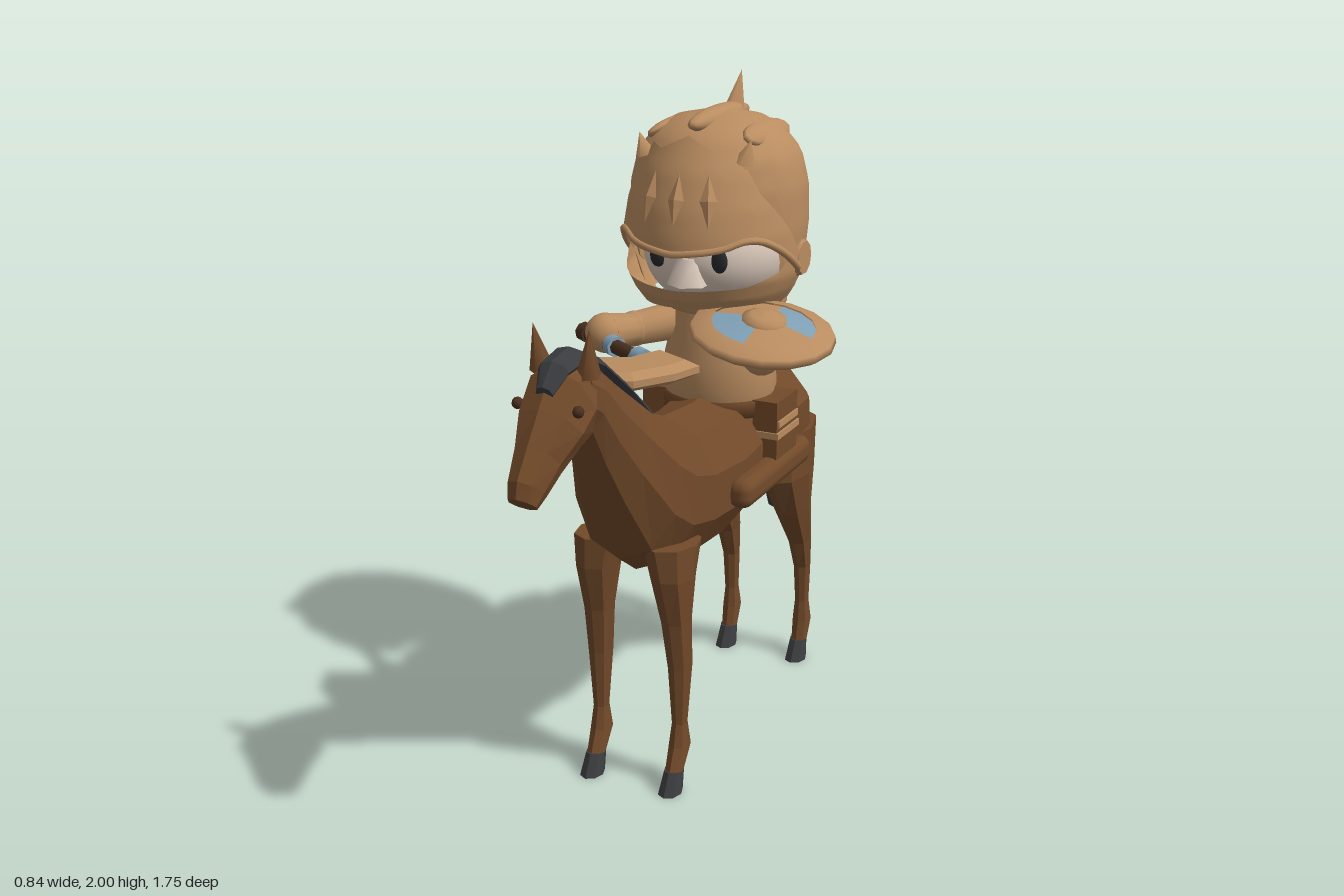
import * as THREE from 'three';
import { RoundedBoxGeometry } from 'three/addons/geometries/RoundedBoxGeometry.js';

const mat = (name, color, side = THREE.FrontSide) => {
  const m = new THREE.MeshStandardMaterial({ color, side });
  m.name = name;
  return m;
};

export function createModel() {
  const coat = mat('coat brown', 0x724a2a), hair = mat('dark grey hair', 0x3b3c3f);
  const tan = mat('tan armour', 0xb98c60, THREE.DoubleSide);
  const blue = mat('steel blue', 0x7f9fb4, THREE.DoubleSide);
  const skin = mat('pale skin', 0xdac8ba), dark = mat('eye black', 0x28292d);
  const wood = mat('dark wood', 0x4a3020);

  const model = new THREE.Group();
  const horse = new THREE.Group(), rider = new THREE.Group();
  horse.name = 'horse';
  rider.name = 'rider';
  horse.position.x = rider.position.x = -0.05;
  model.add(horse, rider);

  const add = (parent, name, geo, material, x = 0, y = 0, z = 0) => {
    const m = new THREE.Mesh(geo, material);
    m.name = name;
    m.position.set(x, y, z);
    parent.add(m);
    return m;
  };

  // Faceted closed loft; a section is [z1, y1, z2, y2, halfWidth, centreX]
  const loft = (sections, n = 10) => {
    const pts = [], idx = [];
    sections.forEach(([z1, y1, z2, y2, w, cx = 0]) => {
      for (let i = 0; i < n; i++) {
        const a = (i / n) * Math.PI * 2, c = Math.cos(a) / 2;
        pts.push(new THREE.Vector3(cx + w * Math.sin(a), (y1 + y2) / 2 + (y1 - y2) * c, (z1 + z2) / 2 + (z1 - z2) * c));
      }
    });
    for (let s = 0; s < sections.length - 1; s++)
      for (let i = 0; i < n; i++) {
        const a = s * n + i, b = s * n + (i + 1) % n;
        idx.push(a, b, a + n, b, b + n, a + n);
      }
    const last = (sections.length - 1) * n;
    for (let i = 1; i < n - 1; i++) idx.push(0, i + 1, i, last, last + i, last + i + 1);
    let vol = 0;
    for (let i = 0; i < idx.length; i += 3)
      vol += pts[idx[i]].dot(pts[idx[i + 1]].clone().cross(pts[idx[i + 2]]));
    if (vol < 0) idx.reverse();
    const g = new THREE.BufferGeometry().setFromPoints(idx.map(i => pts[i]));
    g.computeVertexNormals();
    return g;
  };

  // Horse body and neck, rump to poll
  add(horse, 'bodyAndNeck', loft([
    [-.735, 1.0, -.75, .84, .06], [-.69, 1.06, -.755, .75, .15], [-.61, 1.10, -.66, .71, .195],
    [-.50, 1.11, -.50, .70, .205], [-.36, 1.08, -.36, .665, .19], [-.15, 1.06, -.12, .635, .19],
    [.05, 1.08, .08, .645, .185], [.15, 1.12, .23, .67, .18], [.22, 1.165, .33, .74, .165],
    [.32, 1.24, .43, .92, .115], [.42, 1.31, .50, 1.06, .085], [.50, 1.365, .56, 1.18, .075],
    [.58, 1.405, .61, 1.22, .07]]), coat);
  add(horse, 'head', loft([
    [.57, 1.41, .54, 1.24, .06], [.68, 1.395, .58, 1.18, .10], [.75, 1.31, .64, 1.17, .095],
    [.81, 1.23, .71, 1.12, .065], [.865, 1.155, .77, 1.08, .05], [.875, 1.11, .81, 1.06, .04]], 8), coat);
  add(horse, 'mane', loft([
    [.73, 1.36, .71, 1.32, .025], [.68, 1.415, .66, 1.36, .045], [.59, 1.43, .57, 1.37, .05],
    [.50, 1.39, .47, 1.32, .05], [.35, 1.28, .31, 1.20, .05], [.17, 1.145, .15, 1.08, .03]], 8), hair);
  add(horse, 'tail', loft([
    [-.70, 1.045, -.70, .98, .03], [-.77, 1.03, -.745, .95, .05], [-.83, .97, -.765, .92, .055],
    [-.87, .84, -.785, .83, .055], [-.86, .70, -.78, .69, .05], [-.845, .60, -.76, .59, .04],
    [-.85, .52, -.79, .50, .028], [-.87, .465, -.86, .46, .006]], 8), hair);

  // Legs, hooves, ears and eyes, mirrored
  const hind = [
    [-.46, .86, -.755, .88, .09, .115], [-.47, .71, -.745, .72, .075, .125], [-.565, .57, -.735, .59, .055, .13],
    [-.67, .43, -.765, .44, .038, .13], [-.712, .33, -.77, .33, .03, .13], [-.722, .2, -.772, .2, .024, .13],
    [-.715, .13, -.785, .13, .032, .13], [-.70, .055, -.757, .06, .027, .13]];
  const fore = [
    [.33, .78, .10, .76, .075, .11], [.315, .68, .145, .66, .06, .12], [.27, .53, .17, .53, .045, .125],
    [.248, .38, .165, .38, .036, .13], [.235, .2, .185, .2, .024, .13], [.25, .13, .17, .12, .032, .13],
    [.28, .06, .215, .05, .027, .13]];
  const hindHoof = [[-.695, .065, -.757, .065, .029, .13], [-.655, 0, -.748, 0, .035, .13]];
  const foreHoof = [[.285, .065, .213, .055, .029, .13], [.32, 0, .228, 0, .035, .13]];
  for (const s of [1, -1]) {
    const side = list => list.map(([a, b, c, d, w, x]) => [a, b, c, d, w, x * s]);
    add(horse, 'hindLeg', loft(side(hind), 8), coat);
    add(horse, 'foreLeg', loft(side(fore), 8), coat);
    add(horse, 'hindHoof', loft(side(hindHoof), 8), hair);
    add(horse, 'foreHoof', loft(side(foreHoof), 8), hair);
    const ear = add(horse, 'horseEar', new THREE.ConeGeometry(.034, .13, 5), coat, s * .075, 1.43, .62);
    ear.rotation.set(.15, 0, -s * .1);
    add(horse, 'horseEye', new THREE.SphereGeometry(.016, 8, 6), wood, s * .088, 1.30, .705);
  }

  // Rider torso and collar
  const lathe = (pts, n = 28, start = 0, len = Math.PI * 2) =>
    new THREE.LatheGeometry(pts.map(p => new THREE.Vector2(...p)), n, start, len);
  add(rider, 'torso', lathe([[.16, 1.02], [.178, 1.08], [.172, 1.17], [.15, 1.26], [.13, 1.36]]), tan, 0, 0, -.345)
    .scale.z = .88;
  add(rider, 'belt', lathe([[.12, 1.0], [.178, 1.0], [.182, 1.05], [.16, 1.055]]), coat, 0, 0, -.345).scale.z = .85;
  add(rider, 'collar', lathe([[.12, 1.30], [.18, 1.31], [.195, 1.335], [.19, 1.365], [.12, 1.375]]), tan, 0, 0, -.375)
    .scale.z = .85;

  // Rider legs and boots
  for (const s of [1, -1]) {
    add(rider, 'leg', new THREE.BoxGeometry(.08, .19, .16), coat, s * .185, .96, -.345);
    add(rider, 'legBand', new THREE.BoxGeometry(.09, .02, .15), tan, s * .186, .985, -.345);
    add(rider, 'legBandLower', new THREE.BoxGeometry(.09, .02, .17), tan, s * .186, .95, -.345);
    add(rider, 'boot', new RoundedBoxGeometry(.08, .09, .50, 3, .035), coat, s * .2, .835, -.28);
  }

  // Face
  add(rider, 'face', new THREE.SphereGeometry(.22, 28, 18), skin, 0, 1.5, -.32).scale.y = .8;
  add(rider, 'nose', new THREE.CylinderGeometry(.035, .065, .08, 6), skin, 0, 1.47, -.125);
  for (const s of [1, -1])
    add(rider, 'eye', new THREE.SphereGeometry(.026, 12, 8), dark, s * .098, 1.507, -.12).scale.set(1, 1.35, .5);

  // Curved helmet sheet between two heights given as functions of the angle from the front
  const interp = (table, t) => {
    let i = 0;
    while (i < table.length - 2 && t > table[i + 1][0]) i++;
    const [a, b] = [table[i], table[i + 1]];
    return THREE.MathUtils.lerp(a[1], b[1], THREE.MathUtils.clamp((t - a[0]) / (b[0] - a[0]), 0, 1));
  };
  const onSheet = (radii, phi, y, sx) => {
    const r = interp(radii, y);
    return [Math.sin(phi) * r * sx, y, Math.cos(phi) * r];
  };
  const sheet = (low, high, radii, max, sx, nu = 48, nv = 14) => {
    const g = new THREE.PlaneGeometry(1, 1, nu, nv), p = g.attributes.position;
    for (let i = 0; i < p.count; i++) {
      const phi = p.getX(i) * 2 * max, v = p.getY(i) + .5, a = Math.abs(phi);
      p.setXYZ(i, ...onSheet(radii, phi, THREE.MathUtils.lerp(interp(low, a), interp(high, a), v), sx));
    }
    g.computeVertexNormals();
    return g;
  };
  const domeR = [[1.35, .205], [1.40, .235], [1.46, .253], [1.58, .265], [1.70, .262], [1.79, .24], [1.85, .192],
    [1.885, .135], [1.905, .07], [1.913, 0]];
  const visorR = [[1.50, .312], [1.58, .308], [1.66, .293], [1.76, .258], [1.86, .20]];
  const visorLow = [[0, 1.54], [.5, 1.555], [.85, 1.585], [1.2, 1.54], [1.5, 1.47]];
  add(rider, 'helmetDome', sheet([[0, 1.58], [1.1, 1.58], [1.3, 1.36], [3.15, 1.36]], [[0, 1.913], [3.15, 1.913]],
    domeR, Math.PI, 1, 64, 20), tan, 0, 0, -.335);
  add(rider, 'visor', sheet(visorLow, [[0, 1.86], [.45, 1.82], [.75, 1.83], [1.0, 1.70], [1.3, 1.61], [1.5, 1.52]],
    visorR, 1.5, .87), tan, 0, 0, -.32);
  add(rider, 'chinGuard', sheet([[0, 1.37], [1.6, 1.35]], [[0, 1.43], [.8, 1.44], [1.2, 1.47], [1.6, 1.56]],
    [[1.35, .235], [1.40, .275], [1.45, .30], [1.56, .305]], 1.6, .87), tan, 0, 0, -.32);
  const rim = [];
  for (let i = -8; i <= 8; i++) {
    const phi = i / 8 * 1.5;
    rim.push(new THREE.Vector3(...onSheet(visorR, phi, interp(visorLow, Math.abs(phi)), .87)));
  }
  add(rider, 'visorRim', new THREE.TubeGeometry(new THREE.CatmullRomCurve3(rim), 40, .011, 6), tan, 0, 0, -.32);

  // Helmet details: visor ridges, crest, horns, spike and hinges
  for (const k of [-1, 0, 1]) {
    const slot = add(rider, 'visorSlot', new THREE.OctahedronGeometry(.05), tan,
      ...onSheet(visorR, k * .38, 1.69, .87));
    slot.position.z -= .32;
    slot.scale.set(.5, 1.5, .3);
    slot.rotation.set(-.3, k * .38, 0, 'YXZ');
  }
  add(rider, 'crest', new THREE.SphereGeometry(1, 16, 10), tan, 0, 1.885, -.33).scale.set(.04, .035, .2);
  const spike = add(rider, 'spike', new THREE.ConeGeometry(.05, .18, 4), tan, 0, 1.92, -.448);
  spike.rotation.x = -.46;
  for (const s of [1, -1]) {
    const ridge = add(rider, 'sideRidge', new THREE.SphereGeometry(1, 14, 8), tan, s * .15, 1.85, -.33);
    ridge.scale.set(.045, .022, .155);
    ridge.rotation.z = -s * .7;
    const horn = add(rider, 'visorHorn', new THREE.ConeGeometry(.035, .07, 4), tan, s * .165, 1.82, -.16);
    horn.rotation.z = -s * .3;
    add(rider, 'hinge', new THREE.CylinderGeometry(.05, .06, .03, 10), tan, s * .258, 1.49, -.34).rotation.z = -s * Math.PI / 2;
  }

  // Rod between two points, used for arms and the haft
  const rod = (name, a, b, r1, r2, material, n = 12) => {
    const p = new THREE.Vector3(...a), q = new THREE.Vector3(...b), d = q.clone().sub(p);
    const m = add(model, name, new THREE.CylinderGeometry(r2, r1, d.length(), n), material, ...p.add(q).multiplyScalar(.5));
    m.quaternion.setFromUnitVectors(new THREE.Vector3(0, 1, 0), d.normalize());
  };
  const arms = [
    [[-.18, 1.26, -.32], [-.27, 1.25, -.2], [-.31, 1.26, -.09]],
    [[.08, 1.26, -.32], [.18, 1.25, -.22], [.20, 1.26, -.08]]];
  for (const [shoulder, elbow, hand] of arms) {
    rod('upperArm', shoulder, elbow, .06, .052, tan);
    add(model, 'elbow', new THREE.SphereGeometry(.054, 14, 10), tan, ...elbow);
    rod('forearm', elbow, hand, .048, .06, tan);
    add(model, 'hand', new THREE.SphereGeometry(.06, 14, 10), tan, ...hand);
  }

  // Axe lying flat across the neck
  const haft = t => [-.41 + .34 * t, 1.24, -.14 + .22 * t];
  rod('axeHaft', haft(0), haft(1), .024, .022, wood, 8);
  rod('haftPommel', haft(0), haft(.1), .03, .03, wood, 8);
  rod('haftRing', haft(.42), haft(.5), .032, .032, blue, 8);
  rod('haftRing', haft(.8), haft(.9), .034, .034, blue, 8);
  const blade = new THREE.Shape([[-.08, .0], [.08, .08], [.05, .18], [-.02, .29], [-.11, .34], [-.15, .31], [-.2, .28],
    [-.225, .22], [-.255, .18], [-.13, .12]].map(p => new THREE.Vector2(...p)));
  const bladeGeo = new THREE.ExtrudeGeometry(blade, { depth: .02, bevelThickness: .018, bevelSize: .03, bevelOffset: -.03, bevelSegments: 1 });
  add(model, 'axeBlade', bladeGeo.rotateX(Math.PI / 2), tan, 0, 1.255, 0);

  // Round shield with quartered face
  const shield = new THREE.Group();
  shield.name = 'shield';
  shield.position.set(.205, 1.325, -.075);
  shield.rotation.set(.12, 0, -.15);
  model.add(shield);
  add(shield, 'shieldRim', lathe([[0, -.015], [.19, -.02], [.21, -.005], [.205, .015], [.15, .03]], 16), tan);
  for (let i = 0; i < 4; i++)
    add(shield, 'shieldQuarter', lathe([[.15, .025], [.06, .042]], 4, i * Math.PI / 2, Math.PI / 2), i % 2 ? blue : tan);
  add(shield, 'shieldBoss', lathe([[.066, .03], [.064, .05], [.04, .06], [0, .064]], 14), tan);
  rod('shieldGrip', [.11, 1.26, -.05], [.28, 1.26, -.09], .018, .018, wood, 8);
  return model;
}
